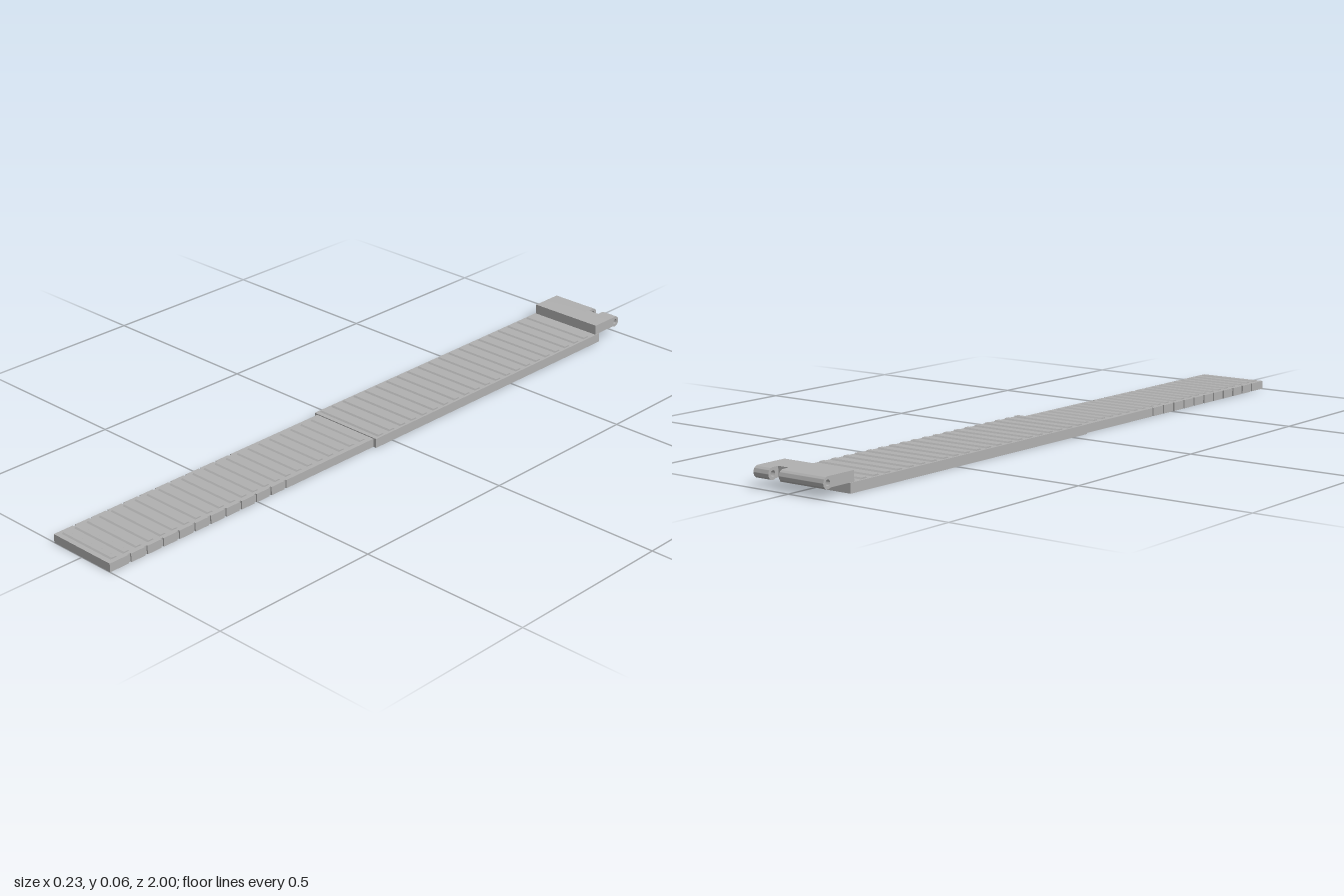
import * as THREE from 'three';
import { toCreasedNormals } from 'three/addons/utils/BufferGeometryUtils.js';

const grey = new THREE.MeshStandardMaterial({ color: 0xb0b0b0 });
grey.name = 'plain grey';

function add(parent, name, geometry) {
  const mesh = new THREE.Mesh(geometry, grey);
  mesh.name = name;
  parent.add(mesh);
  return mesh;
}

// Box given by its limits on each axis
function span(x0, x1, y0, y1, z0, z1) {
  return new THREE.BoxGeometry(x1 - x0, y1 - y0, z1 - z0)
    .translate((x0 + x1) / 2, (y0 + y1) / 2, (z0 + z1) / 2);
}

function polygon(points) {
  return new THREE.Shape(points.map(([x, y]) => new THREE.Vector2(x, y)));
}

function extrude(shape, depth) {
  return new THREE.ExtrudeGeometry(shape, { depth, bevelEnabled: false, curveSegments: 20 });
}

// Side profile (-z, y) swept along x
function sweepX(shape, x0, x1) {
  return toCreasedNormals(extrude(shape, x1 - x0).rotateY(Math.PI / 2).translate(x0, 0, 0), 0.6);
}

// Plan outline (x, -z) raised from y0 to y1
function plate(shape, y0, y1) {
  return toCreasedNormals(extrude(shape, y1 - y0).rotateX(-Math.PI / 2).translate(0, y0, 0), 0.6);
}

// Row of raised crosswise grip ribs with sloping sides
function addRibs(parent, name, count, zFirst, pitch, halfLength, y0, y1, halfWidth) {
  const shape = polygon([[-halfWidth, y0], [halfWidth, y0], [halfWidth - 0.004, y1], [-halfWidth + 0.004, y1]]);
  const geometry = sweepX(shape, -halfLength, halfLength);
  for (let i = 0; i < count; i++) {
    add(parent, name, geometry).position.z = zFirst - i * pitch;
  }
}

function makeSlidingPlate() {
  const group = new THREE.Group();
  group.name = 'slidingPlate';
  // Plan outline with small notches along both long edges
  const w = 0.107, right = [[w, -0.06]];
  for (let i = 0; i < 11; i++) {
    const z = 0.4 + i * 0.0535;
    right.push([w, -z + 0.004], [w - 0.004, -z + 0.004], [w - 0.004, -z - 0.004], [w, -z - 0.004]);
  }
  right.push([w, -1]);
  const left = right.map(([x, y]) => [-x, y]).reverse();
  add(group, 'plateBody', plate(polygon([...right, ...left]), 0, 0.0243));
  add(group, 'plateTail', span(-w, w, 0.004, 0.0235, -0.61, 0.06));
  addRibs(group, 'plateRib', 23, 0.975, 0.04, 0.093, 0.0243, 0.0278, 0.0105);
  return group;
}

function makeTray() {
  const group = new THREE.Group();
  group.name = 'tray';
  const w = 0.117, inner = 0.108, front = 0.065, back = -0.906;
  // Roof and side walls in one channel section
  const section = polygon([[-w, 0.004], [-inner, 0.004], [-inner, 0.0238], [inner, 0.0238],
    [inner, 0.004], [w, 0.004], [w, 0.027], [-w, 0.027]]);
  add(group, 'trayChannel', extrude(section, front - back).translate(0, 0, back));
  add(group, 'trayEndWall', span(-w, w, 0, 0.0268, back, back + 0.012));
  // Bottom flanges with screw holes
  for (const side of [-1, 1]) {
    const flange = polygon([[side * 0.05, -front], [side * w, -front], [side * w, -back], [side * 0.05, -back]]);
    for (let i = 0; i < 12; i++) {
      const hole = new THREE.Path();
      hole.absarc(side * 0.089, -(0.02 - i * 0.0815), 0.011, 0, Math.PI * 2, false);
      flange.holes.push(hole);
    }
    add(group, 'trayFlange', plate(flange, 0, 0.004));
  }
  addRibs(group, 'trayRib', 21, 0.04, 0.0445, 0.11, 0.027, 0.031, 0.0115);
  return group;
}

function makeHinge() {
  const group = new THREE.Group();
  group.name = 'hinge';
  // Block that ends in a round knuckle with a pin hole
  const profile = new THREE.Shape();
  profile.moveTo(0.89, 0.027);
  profile.lineTo(0.89, 0.056);
  profile.lineTo(0.984, 0.056);
  profile.absarc(0.984, 0.04, 0.016, Math.PI / 2, -2.194, true);
  profile.closePath();
  const pinHole = new THREE.Path();
  pinHole.absarc(0.984, 0.04, 0.008, 0, Math.PI * 2, false);
  profile.holes.push(pinHole);
  const w = 0.115;
  add(group, 'longKnuckle', sweepX(profile, -w, 0.03));
  add(group, 'shortKnuckle', sweepX(profile, 0.065, w));
  // Shorter bridge leaves the notch between the knuckles
  add(group, 'hingeBridge', span(0.03, 0.065, 0.027, 0.056, -0.965, -0.89));
  return group;
}

export function createModel() {
  const model = new THREE.Group();
  model.name = 'extendingRamp';
  model.add(makeSlidingPlate(), makeTray(), makeHinge());
  return model;
}
